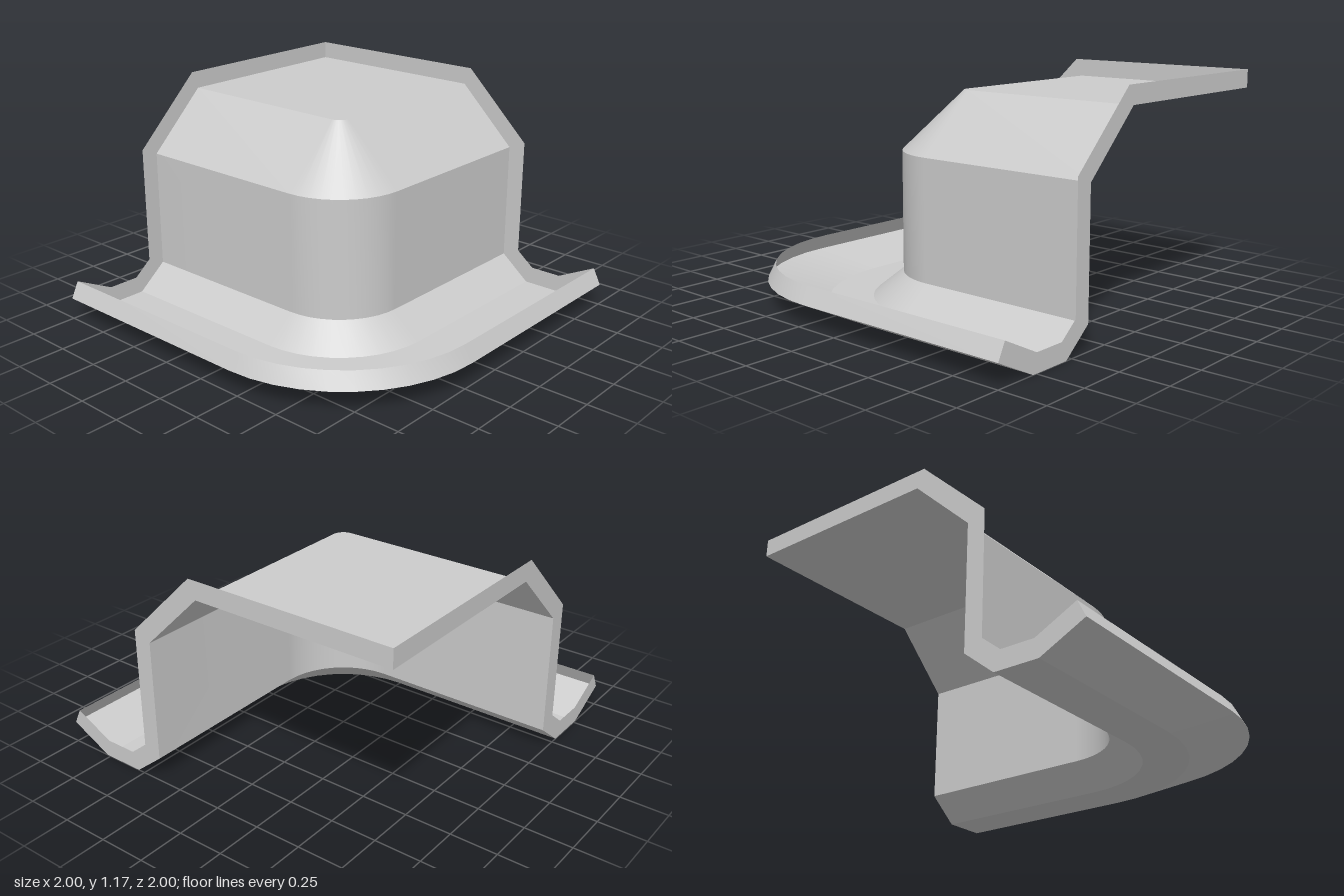
import * as THREE from 'three';

const THICK = 0.095;
const ARC_STEPS = 10;

// Cross-section from the crown to the brim tip: [distance, height, corner centre]
const PROFILE = [
  [-1, 1.08, -1],
  [0.06, 1.08, 0],
  [0.38, 0.77, 0],
  [0.38, 0.13, 0],
  [0.54, 0, 0],
  [0.77, 0, 0],
  [1, 0.115, 0.2],
];

// Mitred offset of the cross-section, giving the outer edge of the cut flanges
function offsetProfile(profile, t) {
  const normal = (a, b) => new THREE.Vector2(a[1] - b[1], b[0] - a[0]).normalize();
  const last = profile.length - 1;
  return profile.map((p, i) => {
    const n0 = normal(profile[Math.max(i - 1, 0)], profile[Math.max(i, 1)]);
    const n1 = normal(profile[Math.min(i, last - 1)], profile[Math.min(i + 1, last)]);
    const k = t / (1 + n0.dot(n1));
    return [p[0] + (n0.x + n1.x) * k, p[1] + (n0.y + n1.y) * k, p[2]];
  });
}

// Plan line of one profile point: straight arm, rounded corner, straight arm
function planLine([d, y, c]) {
  const pts = [new THREE.Vector3(-1, y, d)];
  for (let i = 0; i <= ARC_STEPS; i++) {
    const a = (i / ARC_STEPS) * Math.PI / 2;
    pts.push(new THREE.Vector3(c + (d - c) * Math.sin(a), y, c + (d - c) * Math.cos(a)));
  }
  pts.push(new THREE.Vector3(d, y, -1));
  return pts;
}

// Smooth strip between two lines with equal numbers of points
function strip(a, b, smooth = true) {
  const index = [];
  const n = a.length;
  for (let i = 0; i < n - 1; i++) {
    index.push(i, n + i, n + i + 1, i, n + i + 1, i + 1);
  }
  let geo = new THREE.BufferGeometry().setFromPoints([...a, ...b]);
  geo.setIndex(index);
  if (!smooth) geo = geo.toNonIndexed();
  geo.computeVertexNormals();
  return geo;
}

export function createModel() {
  const group = new THREE.Group();
  group.name = 'cornerShell';
  const material = new THREE.MeshStandardMaterial({ color: 0xcccccc, side: THREE.DoubleSide });
  const add = (name, geo) => {
    const mesh = new THREE.Mesh(geo, material);
    mesh.name = name;
    group.add(mesh);
  };

  // Main sheet: one strip per band of the cross-section
  const names = ['crownTop', 'crownSlope', 'wall', 'foot', 'gutterFloor', 'brimSlope'];
  names.forEach((name, i) => {
    add(name, strip(planLine(PROFILE[i]), planLine(PROFILE[i + 1])));
  });

  // Narrow edge along the brim tip
  const outer = offsetProfile(PROFILE, THICK);
  const tip = PROFILE.length - 1;
  add('brimEdge', strip(planLine(outer[tip]), planLine(PROFILE[tip])));

  // Flat flanges along the two cut sides
  const onBack = ([d, y]) => new THREE.Vector3(d, y, -1);
  const onSide = ([d, y]) => new THREE.Vector3(-1, y, d);
  add('backFlange', strip(PROFILE.map(onBack), outer.map(onBack), false));
  add('sideFlange', strip(outer.map(onSide), PROFILE.map(onSide), false));

  return group;
}
